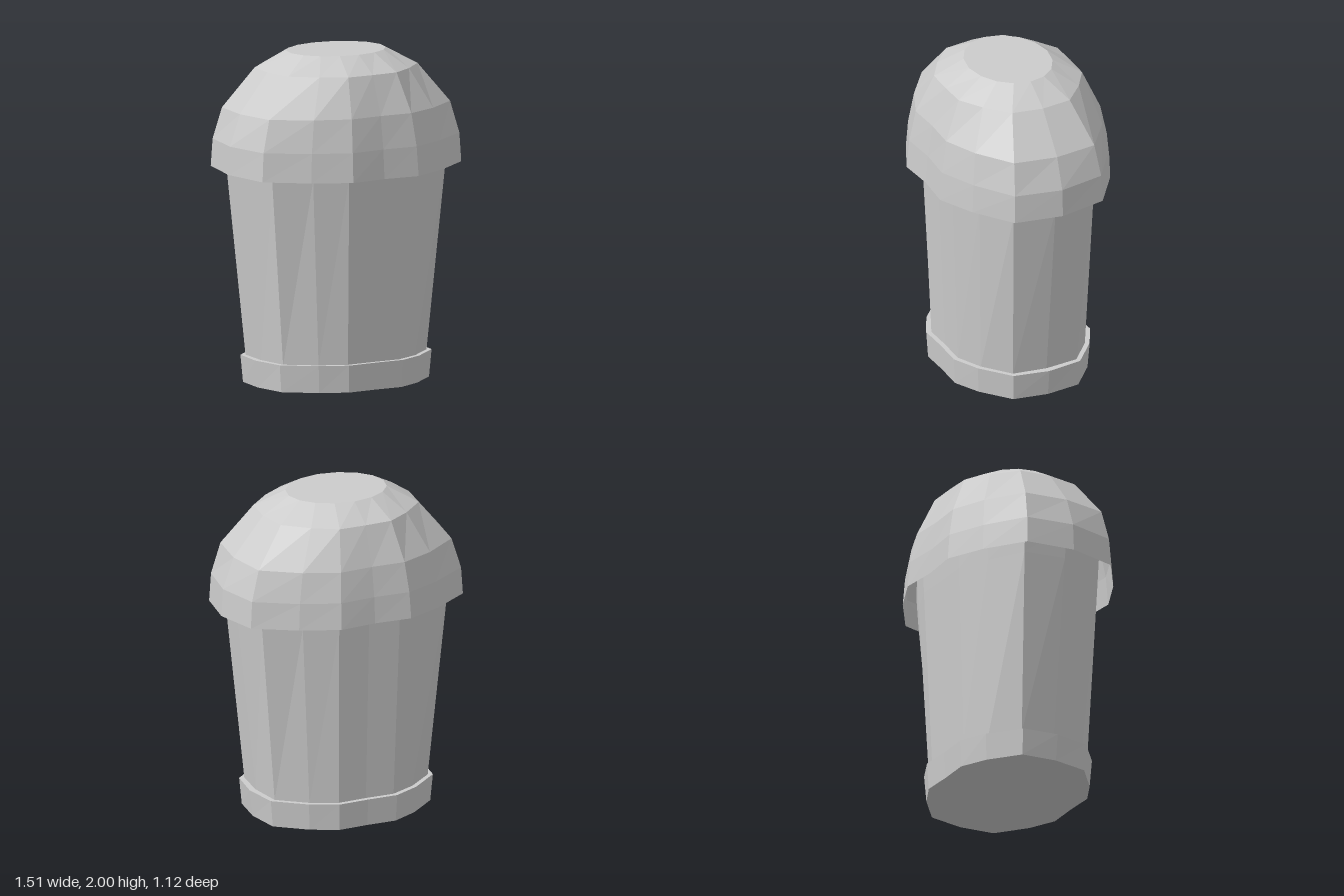
import * as THREE from 'three';

const SIDES = 16;

// Mirrors a quarter outline (five [x, z] points from the side to the front) into a full ring.
// tilt raises the back of the ring relative to the front.
function ring(y, quarter, tilt = 0) {
  const points = [];
  for (let k = 0; k < SIDES; k++) {
    const m = k % 8;
    const [x, z] = quarter[m <= 4 ? m : 8 - m];
    const sx = k > 4 && k < 12 ? -1 : 1;
    const sz = k > 8 ? -1 : 1;
    points.push(new THREE.Vector3(x * sx, y - tilt * z * sz, z * sz));
  }
  // k = 8..12 runs from the -x side to the back, k = 12..16 from the back to +x
  return points;
}

// Skins a stack of rings, with optional flat caps
function loft(name, rings, { bottom = false, top = false, side = THREE.FrontSide } = {}) {
  const pos = [];
  const tri = (a, b, c) => [a, b, c].forEach((p) => pos.push(p.x, p.y, p.z));
  for (let r = 0; r < rings.length - 1; r++) {
    for (let k = 0; k < SIDES; k++) {
      const n = (k + 1) % SIDES;
      const [a, b, c, d] = [rings[r][k], rings[r][n], rings[r + 1][n], rings[r + 1][k]];
      tri(a, d, b);
      tri(b, d, c);
    }
  }
  const cap = (points, up) => {
    const centre = new THREE.Vector3(0, points[0].y, 0);
    points.forEach((p, k) => {
      const n = points[(k + 1) % SIDES];
      if (up) tri(centre, n, p);
      else tri(centre, p, n);
    });
  };
  if (bottom) cap(rings[0], false);
  if (top) cap(rings[rings.length - 1], true);

  const geometry = new THREE.BufferGeometry();
  geometry.setAttribute('position', new THREE.Float32BufferAttribute(pos, 3));
  geometry.computeVertexNormals();
  const material = new THREE.MeshStandardMaterial({ color: 0xcccccc, flatShading: true, side });
  const mesh = new THREE.Mesh(geometry, material);
  mesh.name = name;
  return mesh;
}

export function createModel() {
  const group = new THREE.Group();
  group.name = 'trashCan';

  // Flared foot band, closed so its upper face forms a ledge around the body
  group.add(loft('base', [
    ring(0, [[0.55, 0], [0.52, 0.215], [0.345, 0.36], [0.185, 0.44], [0, 0.435]]),
    ring(0.165, [[0.57, 0], [0.535, 0.22], [0.355, 0.37], [0.19, 0.45], [0, 0.445]]),
  ], { bottom: true, top: true }));

  // Tapered body, running up inside the lid
  group.add(loft('body', [
    ring(0.16, [[0.53, 0], [0.505, 0.21], [0.34, 0.345], [0.18, 0.42], [0, 0.415]]),
    ring(1.29, [[0.655, 0], [0.61, 0.255], [0.4, 0.38], [0.2, 0.465], [0, 0.46]]),
    ring(1.48, [[0.67, 0], [0.625, 0.26], [0.41, 0.385], [0.203, 0.47], [0, 0.465]]),
  ], { top: true }));

  // Hollow domed lid with a slightly tilted rim and a flat crown
  group.add(loft('lid', [
    ring(1.305, [[0.757, 0], [0.7, 0.29], [0.46, 0.455], [0.23, 0.56], [0, 0.543]], 0.028),
    ring(1.475, [[0.747, 0], [0.69, 0.285], [0.45, 0.445], [0.225, 0.545], [0, 0.53]], 0.015),
    ring(1.665, [[0.677, 0], [0.637, 0.265], [0.42, 0.42], [0.21, 0.51], [0, 0.5]]),
    ring(1.9, [[0.483, 0], [0.455, 0.19], [0.315, 0.317], [0.17, 0.408], [0, 0.412]]),
    ring(2, [[0.312, 0], [0.288, 0.1], [0.222, 0.18], [0.122, 0.236], [0, 0.258]]),
  ], { top: true, side: THREE.DoubleSide }));

  return group;
}
